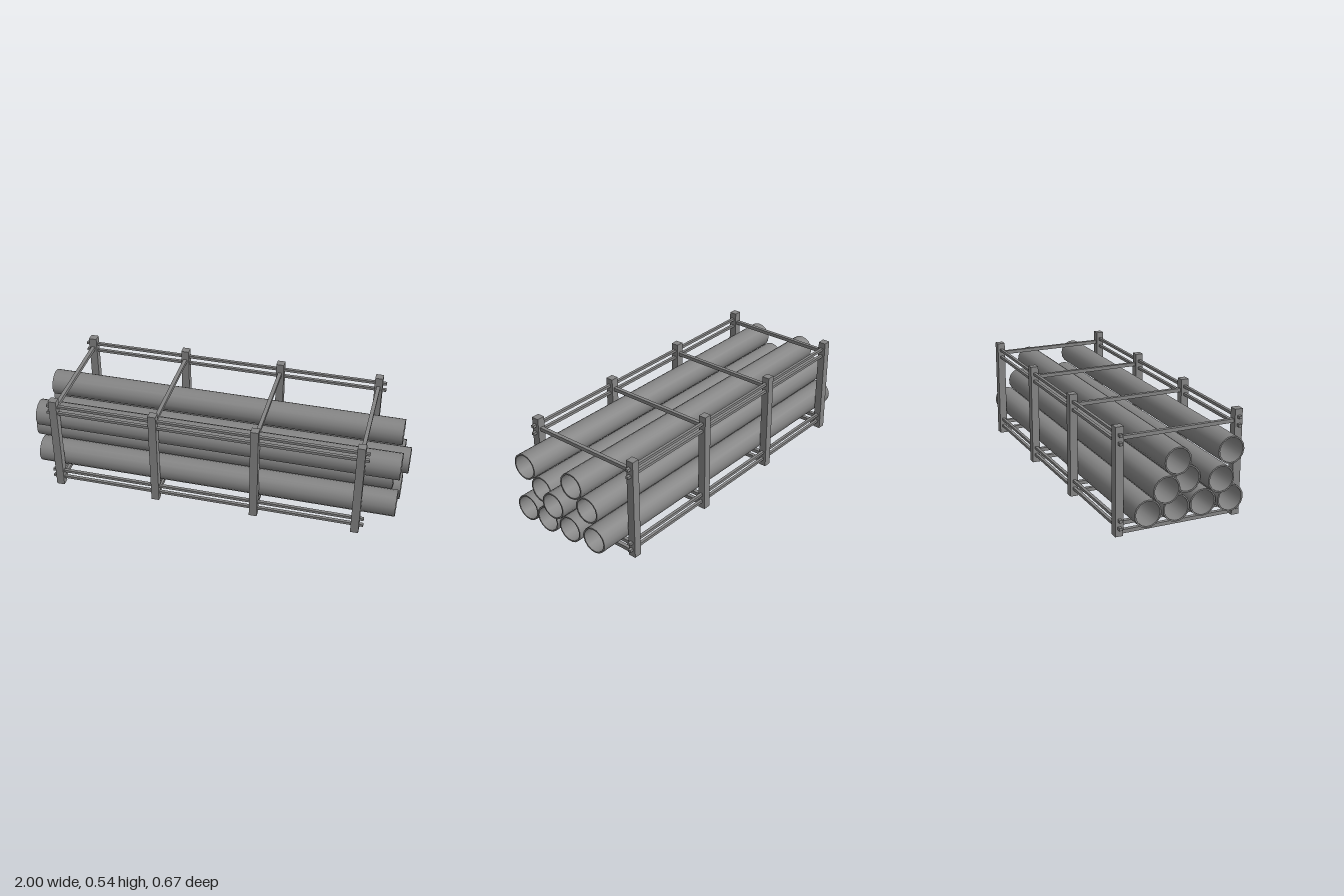
import * as THREE from 'three';
import { toCreasedNormals } from 'three/addons/utils/BufferGeometryUtils.js';

export function createModel() {
  const model = new THREE.Group();
  model.name = 'pipeRack';
  const material = new THREE.MeshStandardMaterial({ color: 0x858585 });

  function box(name, w, h, d, x, y, z) {
    const mesh = new THREE.Mesh(new THREE.BoxGeometry(w, h, d), material);
    mesh.name = name;
    mesh.position.set(x, y, z);
    model.add(mesh);
  }

  // Four frames: two posts joined by three cross bars
  for (const x of [-0.831, -0.295, 0.239, 0.775]) {
    for (const side of [1, -1]) box('post', 0.042, 0.544, 0.041, x, 0.272, side * 0.313);
    for (const y of [0.017, 0.062, 0.484]) box('crossBar', 0.02, 0.019, 0.59, x, y, 0);
  }

  // Long rails running through the posts
  for (const side of [1, -1]) {
    for (const y of [0.043, 0.083, 0.464, 0.505]) {
      box('rail', 1.688, 0.014, 0.016, -0.027, y, side * 0.313);
    }
  }

  // Hollow pipe: closed wall section turned around its axis
  const R = 0.0695, r = 0.062, half = 0.961;
  const section = [[r, -half], [R, -half], [R, half], [r, half], [r, -half]]
    .map(([a, b]) => new THREE.Vector2(a, b));
  const pipeGeometry = toCreasedNormals(new THREE.LatheGeometry(section, 16), 0.7);
  pipeGeometry.rotateZ(-Math.PI / 2);

  // Stacked pipes: [x offset, y, z, roll]
  const pipes = [
    [0.006, 0.143, 0.219, 0.1], [0.013, 0.143, 0.075, 0.05],
    [0.006, 0.143, -0.069, 0.15], [-0.002, 0.143, -0.22, 0.1],
    [-0.026, 0.263, 0.148, 0.05], [0.039, 0.264, 0.004, 0],
    [-0.039, 0.261, -0.144, 0.1],
    [0.009, 0.384, 0.219, 0.05], [-0.012, 0.382, -0.073, 0],
  ];
  for (const [x, y, z, roll] of pipes) {
    const pipe = new THREE.Mesh(pipeGeometry, material);
    pipe.name = 'pipe';
    pipe.position.set(x, y, z);
    pipe.rotation.x = roll;
    model.add(pipe);
  }
  return model;
}
